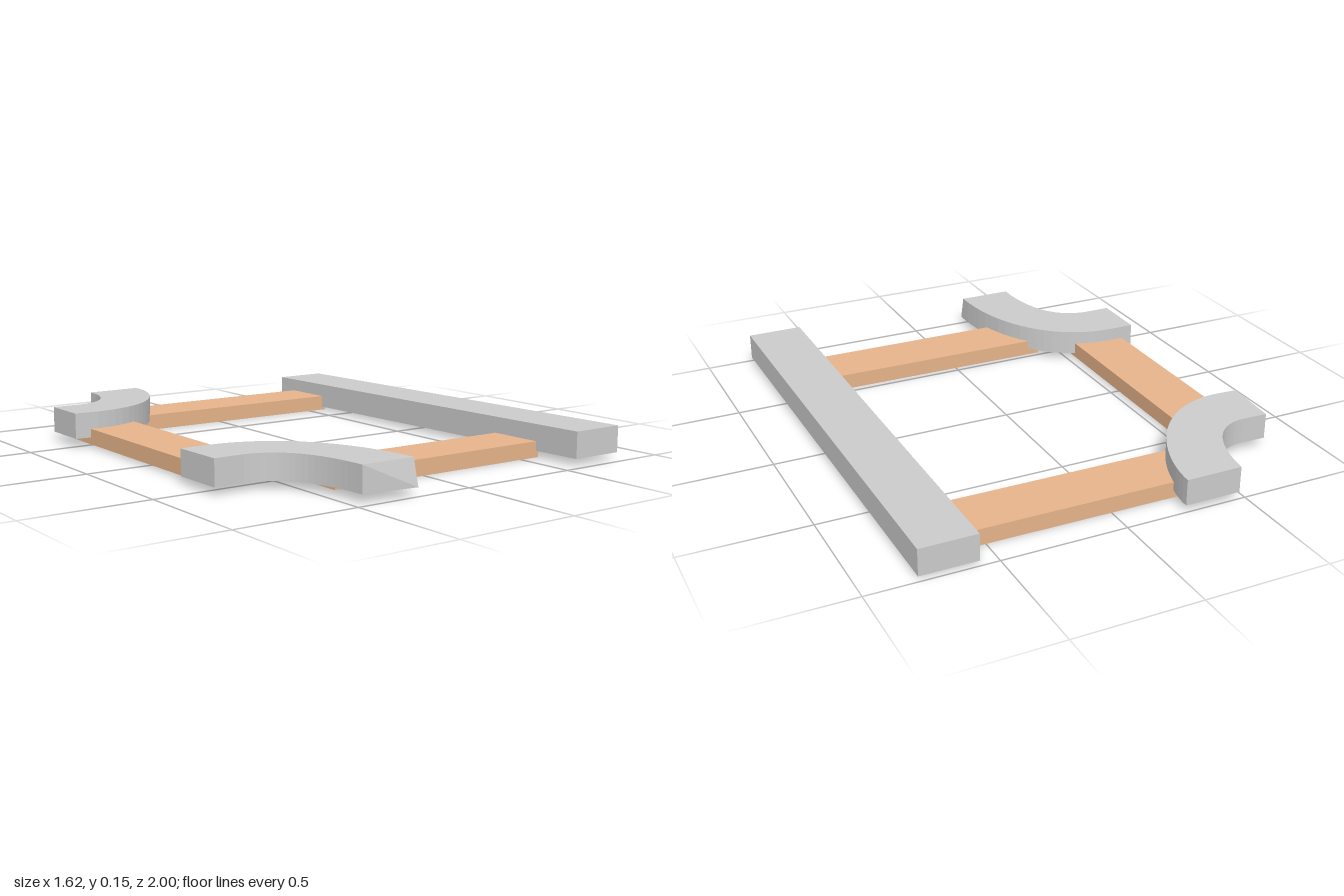
import * as THREE from 'three';

const grey = new THREE.MeshStandardMaterial({ color: 0xcccccc });
const tan = new THREE.MeshStandardMaterial({ color: 0xe6b48a });

// Flat slab from a plan outline (shape y = -z); its base follows y = base + slope * z
function slab(name, shape, material, base, height, slope = 0, adjust = null) {
  const geo = new THREE.ExtrudeGeometry(shape, { depth: height, bevelEnabled: false, curveSegments: 20 });
  geo.rotateX(-Math.PI / 2);
  const pos = geo.attributes.position;
  const v = new THREE.Vector3();
  for (let i = 0; i < pos.count; i++) {
    v.fromBufferAttribute(pos, i);
    if (adjust) adjust(v);
    pos.setXYZ(i, v.x, v.y + base + slope * v.z, v.z);
  }
  geo.computeVertexNormals();
  const mesh = new THREE.Mesh(geo, material);
  mesh.name = name;
  return mesh;
}

// Straight-sided outline from [x, z] corners
const outline = (corners) => new THREE.Shape(corners.map(([x, z]) => new THREE.Vector2(x, -z)));

// Quarter-bend outline: a short straight end, then outer and inner curves [start, control, control, end]
function bend(outer, inner, outerTip, innerTip) {
  const s = new THREE.Shape();
  s.moveTo(outerTip[0], -outerTip[1]);
  s.lineTo(outer[0][0], -outer[0][1]);
  s.bezierCurveTo(...outer.slice(1).flatMap(([x, z]) => [x, -z]));
  s.lineTo(inner[3][0], -inner[3][1]);
  s.bezierCurveTo(...[inner[2], inner[1], inner[0]].flatMap(([x, z]) => [x, -z]));
  s.lineTo(innerTip[0], -innerTip[1]);
  s.closePath();
  return s;
}

export function createModel() {
  const group = new THREE.Group();
  group.name = 'frame';

  // Long straight beam, slightly tilted and turned
  group.add(slab('straightBeam',
    outline([[0.57, -0.985], [0.797, -0.985], [0.81, 0.97], [0.58, 0.97]]), grey, 0.02, 0.107, 0.009));

  // Front bend; the outer lower corner of its end kicks forward
  group.add(slab('frontBend', bend(
    [[-0.70, 0.35], [-0.41, 0.35], [-0.235, 0.61], [-0.235, 0.97]],
    [[-0.70, 0.577], [-0.55, 0.577], [-0.46, 0.70], [-0.46, 0.97]],
    [-0.80, 0.35], [-0.80, 0.577]), grey, 0.025, 0.103, 0.008,
  (v) => { if (v.y < 0.01 && v.z > 0.96 && v.x > -0.3) v.z += 0.027; }));

  // Back bend
  group.add(slab('backBend', bend(
    [[-0.715, -0.457], [-0.42, -0.457], [-0.245, -0.80], [-0.243, -1.0]],
    [[-0.70, -0.686], [-0.55, -0.686], [-0.485, -0.85], [-0.474, -1.0]],
    [-0.815, -0.463], [-0.803, -0.69]), grey, 0.05, 0.105, 0.021));

  // Wooden planks joining the pieces underneath
  group.add(slab('frontPlank',
    outline([[-0.41, 0.522], [0.595, 0.53], [0.593, 0.757], [-0.41, 0.752]]), tan, 0, 0.065));
  group.add(slab('backPlank',
    outline([[-0.41, -0.888], [0.59, -0.88], [0.59, -0.652], [-0.41, -0.66]]), tan, 0, 0.065));
  group.add(slab('sidePlank',
    outline([[-0.748, -0.60], [-0.522, -0.60], [-0.53, 0.44], [-0.753, 0.44]]), tan, 0.011, 0.065));

  return group;
}
